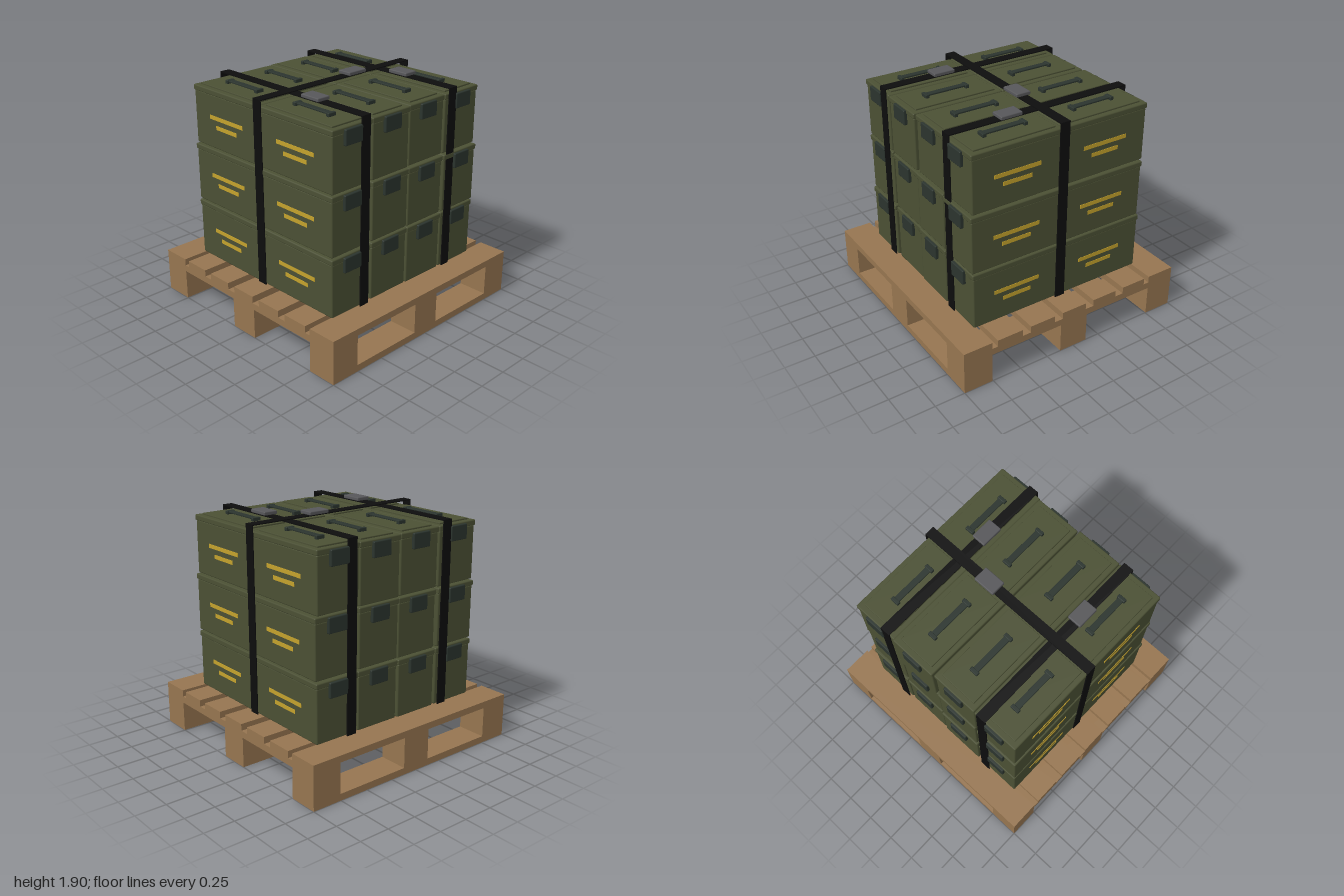
import * as THREE from 'three';
import { RoundedBoxGeometry } from 'three/addons/geometries/RoundedBoxGeometry.js';

const mat = (name, color) => {
  const m = new THREE.MeshStandardMaterial({ color });
  m.name = name;
  return m;
};

export function createModel() {
  const wood = mat('wood', 0x967550);
  const olive = mat('olive', 0x4b5034);
  const darkGreen = mat('darkGreen', 0x2b342e);
  const yellow = mat('yellow', 0xc4a22c);
  const black = mat('black', 0x0d0d0d);
  const grey = mat('grey', 0x57575a);

  // Box from size and centre; r > 0 gives softened edges
  function box(parent, name, material, [w, h, d], [x, y, z], r = 0) {
    const g = r ? new RoundedBoxGeometry(w, h, d, 1, r) : new THREE.BoxGeometry(w, h, d);
    const m = new THREE.Mesh(g, material);
    m.name = name;
    m.position.set(x, y, z);
    parent.add(m);
    return m;
  }
  function group(parent, name) {
    const g = new THREE.Group();
    g.name = name;
    parent.add(g);
    return g;
  }

  const model = new THREE.Group();
  model.name = 'loadedPallet';

  // Pallet: skids along x, blocks, stringers along z, deck boards along x
  const pallet = group(model, 'pallet');
  const rows = [[-0.8775, 0.245], [0, 0.25], [0.8775, 0.245]];
  for (const [p, w] of rows) {
    box(pallet, 'bottomBoard', wood, [2, 0.055, w], [0, 0.0275, p]);
    box(pallet, 'stringer', wood, [w, 0.055, 2], [p, 0.2775, 0]);
    for (const [q, d] of rows) box(pallet, 'block', wood, [w, 0.195, d], [p, 0.1525, q]);
  }
  for (let i = -3; i <= 3; i++) {
    const outer = Math.abs(i) === 3;
    const z = outer ? Math.sign(i) * 0.8775 : i * 0.2975;
    box(pallet, 'deckBoard', wood, [2, 0.055, outer ? 0.245 : 0.222], [0, 0.3325, z]);
  }

  // One crate, its latch facing +z
  function crate(parent, withHandle) {
    const c = group(parent, 'crate');
    box(c, 'body', olive, [0.38, 0.435, 0.765], [0, 0.2175, 0], 0.01);
    box(c, 'lid', olive, [0.394, 0.046, 0.78], [0, 0.455, 0], 0.01);
    box(c, 'lidPanel', olive, [0.31, 0.016, 0.69], [0, 0.482, 0], 0.004);
    box(c, 'latch', darkGreen, [0.17, 0.122, 0.03], [0, 0.404, 0.395], 0.008);
    for (const s of [-1, 1]) {
      box(c, 'longStripe', yellow, [0.006, 0.033, 0.4], [s * 0.19, 0.253, 0]);
      box(c, 'shortStripe', yellow, [0.006, 0.033, 0.25], [s * 0.19, 0.178, 0]);
    }
    if (withHandle) {
      box(c, 'handleGrip', darkGreen, [0.05, 0.014, 0.36], [0, 0.508, 0], 0.004);
      for (const s of [-1, 1]) {
        box(c, 'handleFoot', darkGreen, [0.072, 0.03, 0.03], [0, 0.503, s * 0.175], 0.005);
      }
    }
    return c;
  }

  // Stack: three layers, four columns, two rows, each slightly out of line
  const columns = [
    [-0.6, -0.192, 0.2, 0.595],
    [-0.6, -0.19, 0.195, 0.598],
    [-0.597, -0.2, 0.203, 0.591],
  ];
  const zShift = [[0, -0.004, 0.004, 0.003], [-0.004, 0, 0.005, 0.012], [0, 0.002, -0.008, 0]];
  const yaw = [-0.008, 0.006, -0.008, -0.004];
  const stack = group(model, 'crateStack');
  columns.forEach((xs, layer) => xs.forEach((x, i) => {
    for (const s of [1, -1]) {
      const c = crate(stack, layer === 2);
      c.position.set(x, 0.36 + layer * 0.489, s * 0.391 + zShift[layer][i]);
      c.rotation.y = (s > 0 ? 0 : Math.PI) + yaw[(i + layer) % 4] * 0.5;
    }
  }));

  // Strap over the stack, running along z, with its buckle
  function strap(half, top, width, buckleAt, buckleSize) {
    const g = group(model, 'strap');
    const t = 0.008;
    box(g, 'strapTop', black, [width, t, half * 2], [0, top - t / 2, 0]);
    for (const s of [-1, 1]) {
      box(g, 'strapSide', black, [width, top - 0.36, t], [0, (top + 0.36) / 2, s * (half - t / 2)]);
    }
    box(g, 'buckle', grey, buckleSize, [0, top + 0.017, buckleAt], 0.008);
    return g;
  }
  for (const x of [-0.473, 0.472]) {
    strap(0.79, 1.86, 0.086, 0.272, [0.12, 0.03, 0.185]).position.x = x;
  }
  const cross = strap(0.802, 1.867, 0.084, 0.187, [0.125, 0.03, 0.185]);
  cross.rotation.y = Math.PI / 2;
  cross.position.z = -0.002;

  return model;
}
